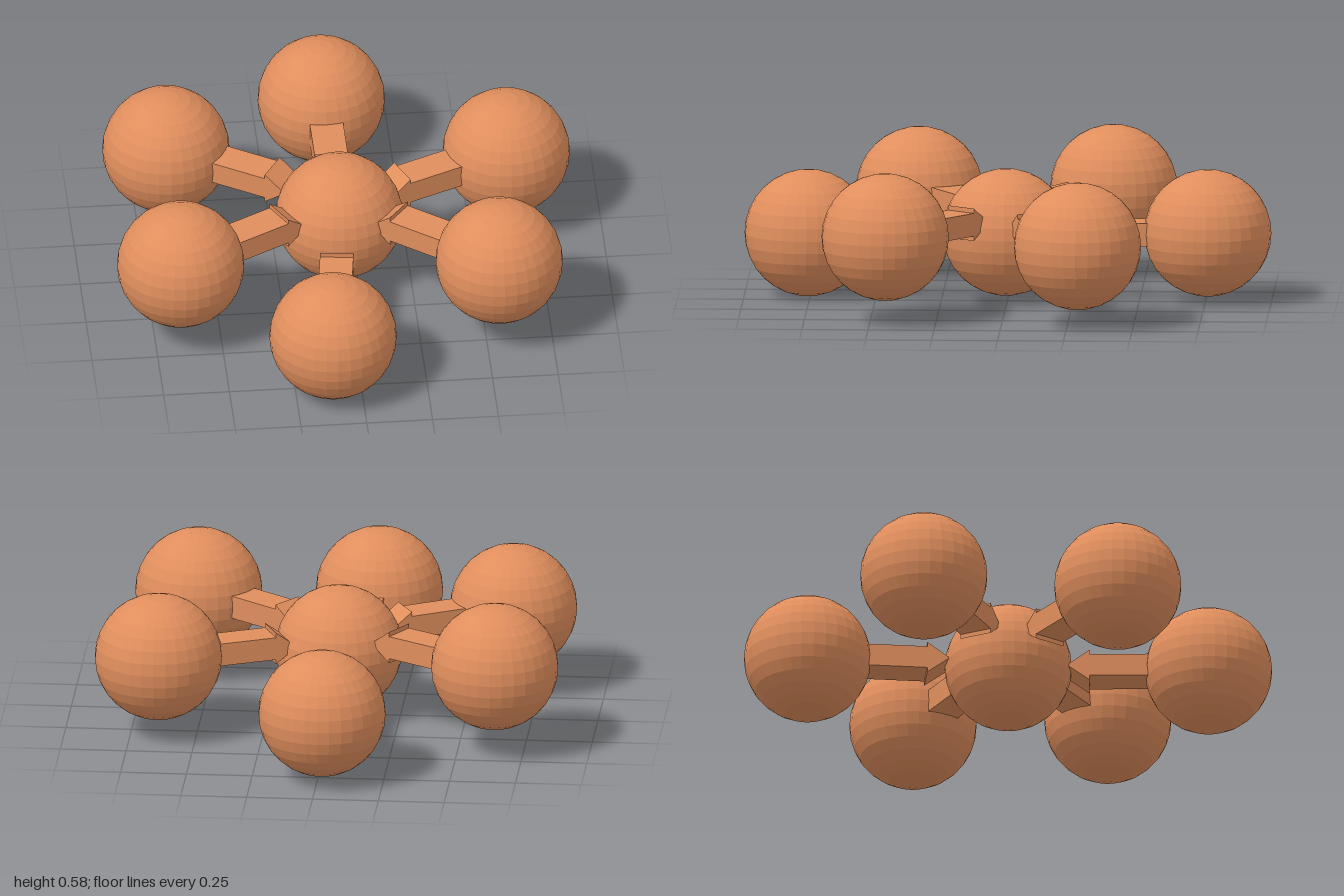
import * as THREE from 'three';

const RADIUS = 0.241;
const HUB = [-0.016, 0.262, 0.005];
// Centres of the outer balls
const BALLS = [
  [-0.016, 0.263, -0.759],
  [-0.64, 0.338, -0.38],
  [0.645, 0.31, -0.29],
  [-0.65, 0.325, 0.357],
  [0.553, 0.327, 0.442],
  [-0.107, 0.242, 0.758],
];

export function createModel() {
  const model = new THREE.Group();
  const material = new THREE.MeshStandardMaterial({ color: 0xe08e5d, flatShading: true });
  const ballGeometry = new THREE.SphereGeometry(RADIUS, 32, 16);

  function add(parent, name, geometry, x, y, z) {
    const mesh = new THREE.Mesh(geometry, material);
    mesh.name = name;
    mesh.position.set(x, y, z);
    parent.add(mesh);
    return mesh;
  }

  // Wedge whose sharp edge points along -x, extruded across the arm
  const width = 0.127, wedgeLength = 0.085;
  const profile = new THREE.Shape();
  profile.moveTo(-wedgeLength, 0);
  profile.lineTo(0, -0.062);
  profile.lineTo(0, 0.062);
  profile.closePath();
  const wedgeGeometry = new THREE.ExtrudeGeometry(profile, { depth: width, bevelEnabled: false });
  wedgeGeometry.translate(0, 0, -width / 2);

  add(model, 'centralBall', ballGeometry, ...HUB);

  // Each spoke lies level with its ball and points its wedge at the hub
  for (const [x, y, z] of BALLS) {
    const dx = x - HUB[0], dz = z - HUB[2];
    const reach = Math.hypot(dx, dz);
    const base = reach - 0.45;
    const spoke = new THREE.Group();
    spoke.name = 'spoke';
    spoke.position.set(HUB[0], y, HUB[2]);
    spoke.rotation.y = Math.atan2(-dz, dx);
    model.add(spoke);

    add(spoke, 'outerBall', ballGeometry, reach, 0, 0).rotation.y = -spoke.rotation.y;
    add(spoke, 'bar', new THREE.BoxGeometry(reach - base, 0.088, width), (reach + base) / 2, 0, 0);
    add(spoke, 'wedgeTip', wedgeGeometry, base, 0, 0);
  }
  return model;
}
